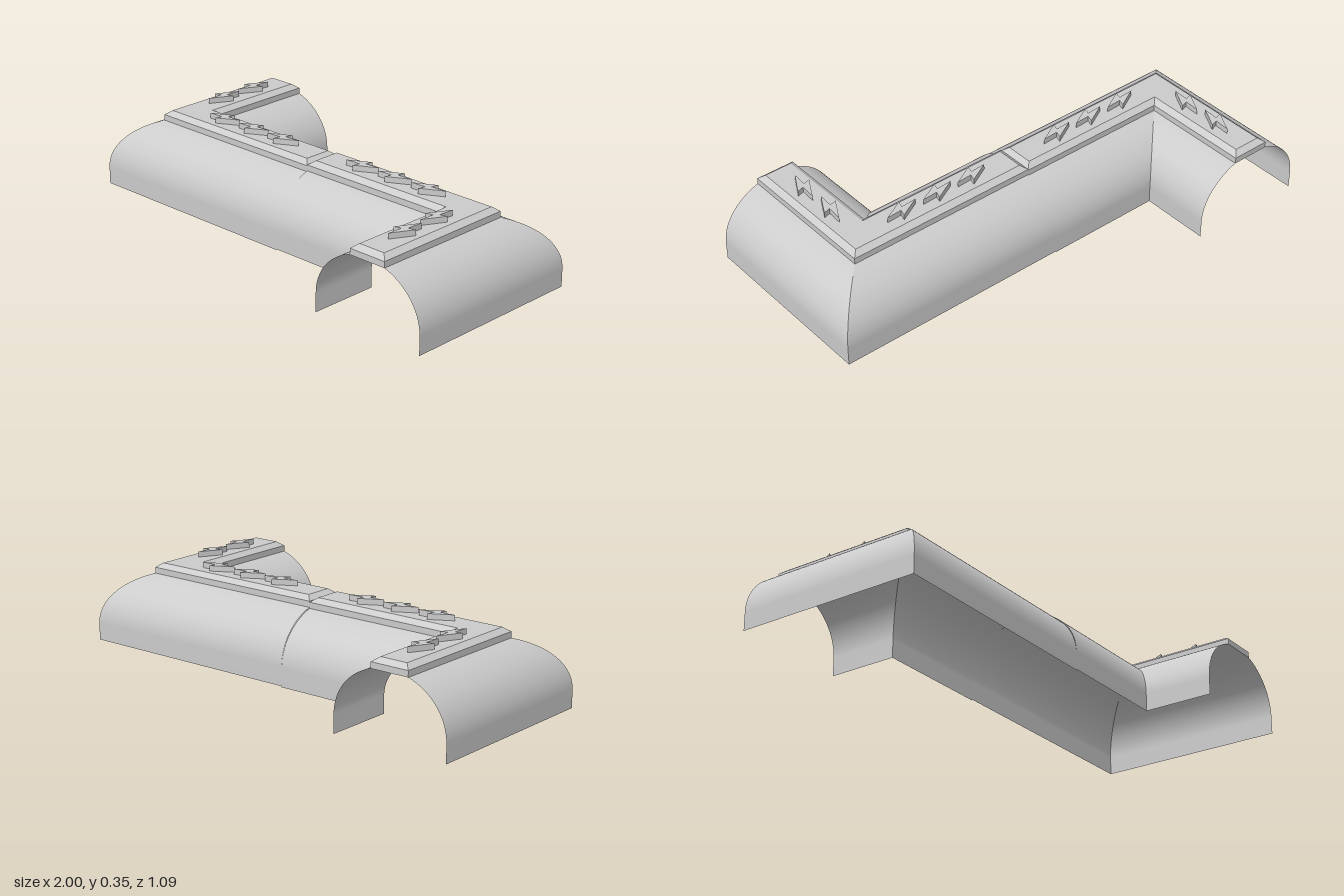
import * as THREE from 'three';

const BEND = 0.75;   // distance from the seam to the corner
const END = 0.545;   // length of the end arm
const RIM = 0.0825;  // half width of the top strip
const FLOOR = 0.28;  // where the strip meets the shell

const smooth = new THREE.MeshStandardMaterial({ color: 0xcccccc, side: THREE.DoubleSide });
const flat = new THREE.MeshStandardMaterial({ color: 0xcccccc, flatShading: true });

function addMesh(parent, name, geometry, material) {
  const mesh = new THREE.Mesh(geometry, material);
  mesh.name = name;
  parent.add(mesh);
  return mesh;
}

// Smooth sheet between two matching rows of points
function sheet(rowA, rowB) {
  const n = rowA.length, index = [];
  for (let i = 0; i < n - 1; i++) index.push(i, i + n, i + 1, i + 1, i + n, i + n + 1);
  const g = new THREE.BufferGeometry().setFromPoints([...rowA, ...rowB]);
  g.setIndex(index);
  g.computeVertexNormals();
  return g;
}

// Side profile of the cover: short upright, then an arc up to the strip
function wallProfile() {
  const pts = [[0.25, 0]];
  const last = Math.acos(RIM / 0.25);
  for (let i = 0; i <= 20; i++) {
    const a = last * i / 20;
    pts.push([0.25 * Math.cos(a), 0.075 + (FLOOR - 0.075) * Math.sin(a) / Math.sin(last)]);
  }
  return pts;
}

// Both walls, mitred at the corner
function buildShell(parent) {
  for (const side of [-1, 1]) {
    const p = wallProfile().map(([u, y]) => [u * side, y]);
    const seam = p.map(([u, y]) => new THREE.Vector3(0, y, u));
    const corner = p.map(([u, y]) => new THREE.Vector3(BEND - u, y, u));
    const end = p.map(([u, y]) => new THREE.Vector3(BEND - u, y, END));
    const label = side > 0 ? 'inner' : 'outer';
    addMesh(parent, label + 'LongWall', sheet(seam, corner), smooth);
    addMesh(parent, label + 'ArmWall', sheet(corner, end), smooth);
  }
}

// L-shaped outline of the strip, shrunk by an inset
function stripLoop(inset, y) {
  const h = RIM - inset;
  return [
    [inset, -h], [BEND + h, -h], [BEND + h, END - inset],
    [BEND - h, END - inset], [BEND - h, h], [inset, h],
  ].map(([x, z]) => new THREE.Vector3(x, y, z));
}

// Strip with upright edges and a bevelled top
function stripGeometry() {
  const loops = [stripLoop(0, FLOOR), stripLoop(0, 0.305), stripLoop(0.024, 0.323)];
  const pts = [];
  const quad = (a, b, c, d) => pts.push(a, b, c, a, c, d);
  for (let k = 0; k < 2; k++) {
    for (let i = 0; i < 6; i++) {
      const j = (i + 1) % 6;
      quad(loops[k][i], loops[k + 1][i], loops[k + 1][j], loops[k][j]);
    }
  }
  const [b, , t] = loops;
  quad(b[0], b[1], b[4], b[5]);
  quad(b[1], b[2], b[3], b[4]);
  quad(t[5], t[4], t[1], t[0]);
  quad(t[4], t[3], t[2], t[1]);
  const g = new THREE.BufferGeometry().setFromPoints(pts);
  g.computeVertexNormals();
  return g;
}

// Zigzag stud, lying along z or, when turned, along x
function zigzagGeometry(alongX) {
  const half = [[0.012, -0.075], [-0.038, 0.017], [-0.008, 0.008]];
  const outline = [...half, ...half.map(([x, z]) => [-x, -z])];
  const shape = new THREE.Shape(outline.map(([x, z]) =>
    alongX ? new THREE.Vector2(z, x) : new THREE.Vector2(x, z)));
  const g = new THREE.ExtrudeGeometry(shape, { depth: 0.068, bevelEnabled: false });
  return g.rotateX(Math.PI / 2).translate(0, 0.346, 0);
}

function buildHalf(name) {
  const half = new THREE.Group();
  half.name = name;
  buildShell(half);
  addMesh(half, 'topStrip', stripGeometry(), flat);
  for (const x of [0.217, 0.383, 0.552]) {
    addMesh(half, 'zigzagStud', zigzagGeometry(true), flat).position.x = x;
  }
  for (const z of [0.18, 0.35]) {
    addMesh(half, 'zigzagStud', zigzagGeometry(false), flat).position.set(BEND, 0, z);
  }
  return half;
}

export function createModel() {
  const model = new THREE.Group();
  model.name = 'bentCover';
  // Two equal halves, one turned half a turn, the left-hand one slightly raised
  const left = buildHalf('leftHalf');
  left.position.y = 0.004;
  const right = buildHalf('rightHalf');
  right.rotation.y = Math.PI;
  model.add(left, right);
  return model;
}
